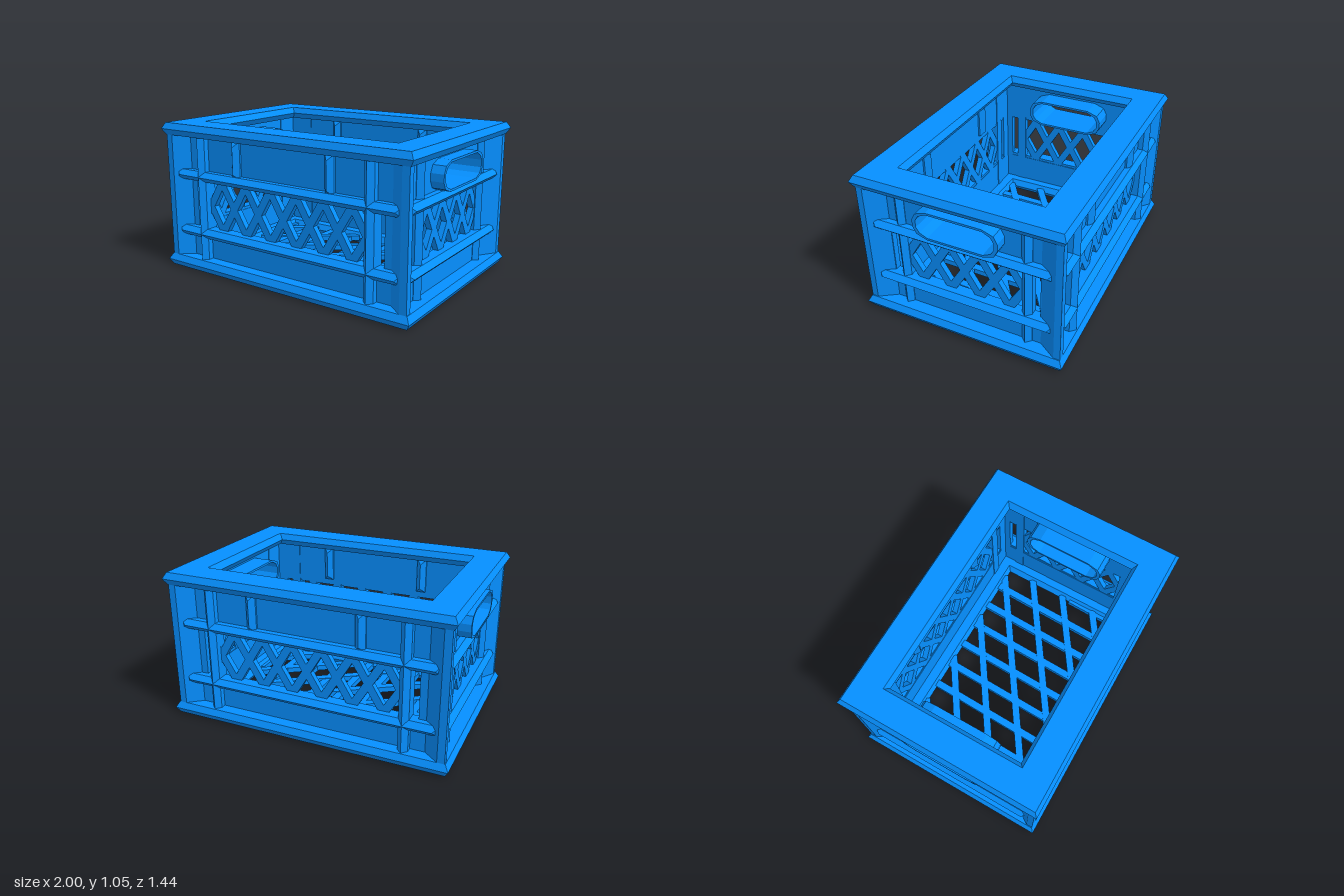
import * as THREE from 'three';

const plastic = new THREE.MeshStandardMaterial({ color: 0x058fff, flatShading: true });

function add(parent, name, geometry) {
  const mesh = new THREE.Mesh(geometry, plastic);
  mesh.name = name;
  parent.add(mesh);
  return mesh;
}

// Skin through stacked rectangles given as [halfX, halfZ, y]
function rectLoft(sections, closed = false) {
  const corners = ([x, z, y]) => [[-x, y, z], [x, y, z], [x, y, -z], [-x, y, -z]];
  const pos = [];
  const count = closed ? sections.length : sections.length - 1;
  for (let s = 0; s < count; s++) {
    const lo = corners(sections[s]);
    const hi = corners(sections[(s + 1) % sections.length]);
    for (let i = 0; i < 4; i++) {
      const j = (i + 1) % 4;
      pos.push(...lo[i], ...lo[j], ...hi[j], ...lo[i], ...hi[j], ...hi[i]);
    }
  }
  const g = new THREE.BufferGeometry();
  g.setAttribute('position', new THREE.Float32BufferAttribute(pos, 3));
  g.computeVertexNormals();
  return g;
}

// Rectangular ring with pointed outer and inner edges
const rim = (y) => rectLoft([
  [0.975, 0.695, y], [1, 0.718, y + 0.042], [0.975, 0.695, y + 0.085],
  [0.785, 0.5, y + 0.085], [0.755, 0.475, y + 0.042], [0.785, 0.5, y],
], true);

// Bar lying along x, with its ridge pointing to +z
function ridgeBar(half, z0, z1) {
  const w = 0.035;
  const d = z1 - z0;
  return rectLoft([[0, 0, 0], [half, w, 0], [half, w, d - w], [half - w, 0, d]])
    .rotateX(Math.PI / 2).translate(0, 0, z0);
}

// Slanted flat bar in the xy plane through (px, py), cut to a rectangle
function latticeBar(px, py, dx, dy, [x0, x1, y0, y1], z) {
  const tx = [(x0 - px) / dx, (x1 - px) / dx].sort((a, b) => a - b);
  const ty = [(y0 - py) / dy, (y1 - py) / dy].sort((a, b) => a - b);
  const a = Math.max(tx[0], ty[0]);
  const b = Math.min(tx[1], ty[1]);
  if (b - a < 0.02) return null;
  const m = (a + b) / 2;
  return new THREE.BoxGeometry((b - a) * Math.hypot(dx, dy), 0.055, 0.04)
    .rotateZ(Math.atan2(dy, dx))
    .translate(px + dx * m, py + dy * m, z);
}

// Points of a wide opening with softened ends
function slotPoints(w, h, mx, my) {
  const q = [[w, 0.025], [mx, my], [0.19, h]];
  const r = [...q].reverse();
  return [
    ...q, ...r.map(([x, y]) => [-x, y]),
    ...q.map(([x, y]) => [-x, -y]), ...r.map(([x, y]) => [x, -y]),
  ].map(([x, y]) => new THREE.Vector2(x, y + 0.82));
}
const slotOuter = () => slotPoints(0.29, 0.1, 0.265, 0.073);
const slotInner = () => slotPoints(0.265, 0.085, 0.243, 0.06);

const rectPoints = (w, y0, y1) =>
  [[-w, y0], [w, y0], [w, y1], [-w, y1]].map(([x, y]) => new THREE.Vector2(x, y));

// One wall facing +z: panel, rails, ribs, lattice and optional handle
function makeWall(name, o) {
  const wall = new THREE.Group();
  wall.name = name;

  const panel = new THREE.Shape(rectPoints(o.half, 0.04, 1.0));
  panel.holes.push(new THREE.Path(rectPoints(o.window, 0.29, 0.67)));
  if (o.handle) panel.holes.push(new THREE.Path(slotInner()));
  add(wall, 'wallPanel', new THREE.ExtrudeGeometry(panel,
    { depth: o.outer - o.inner, bevelEnabled: false }).translate(0, 0, o.inner));

  for (const y of [0.275, 0.685]) {
    add(wall, 'rail', ridgeBar(o.rail, o.inner + 0.005, o.tip)).position.y = y;
  }
  for (const x of [-o.rib, o.rib]) {
    add(wall, 'rib', ridgeBar(0.48, o.inner - 0.005, o.ribTip).rotateZ(Math.PI / 2))
      .position.set(x, 0.525, 0);
  }

  // Crossing bars in the window
  const area = [-o.rib, o.rib, 0.27, 0.69];
  for (let k = -4; k <= 4; k++) {
    for (const s of [-1, 1]) {
      const g = latticeBar(k * o.pitch, 0.475, 1, s * 1.65, area, (o.inner + o.outer) / 2);
      if (g) add(wall, 'latticeBar', g);
    }
  }

  // Short ridged ribs on both faces of the upper panel
  const middle = (o.inner + o.outer) / 2;
  for (const x of o.shortRibs) {
    for (const turn of [0, Math.PI]) {
      add(wall, 'shortRib', ridgeBar(0.128, 0, 0.07).rotateZ(Math.PI / 2).rotateY(turn))
        .position.set(x, 0.829, middle);
    }
  }

  if (o.handle) {
    const sleeve = new THREE.Shape(slotOuter());
    sleeve.holes.push(new THREE.Path(slotInner()));
    add(wall, 'handleSleeve', new THREE.ExtrudeGeometry(sleeve,
      { depth: 0.29, bevelEnabled: false }).translate(0, 0, 0.69));
  }
  return wall;
}

export function createModel() {
  const crate = new THREE.Group();
  crate.name = 'crate';

  add(crate, 'bottomRim', rim(0));
  add(crate, 'topRim', rim(0.962));

  // Long and short walls
  const long = {
    half: 0.86, window: 0.77, inner: 0.57, outer: 0.615, tip: 0.69, ribTip: 0.688,
    rail: 0.912, rib: 0.685, pitch: 0.215, shortRibs: [-0.383, 0.383], handle: false,
  };
  const short = {
    half: 0.59, window: 0.525, inner: 0.845, outer: 0.89, tip: 0.965, ribTip: 0.928,
    rail: 0.63, rib: 0.437, pitch: 0.208, shortRibs: [], handle: true,
  };
  [['frontWall', long], ['leftWall', short], ['backWall', long], ['rightWall', short]]
    .forEach(([name, options], i) => {
      const wall = makeWall(name, options);
      wall.rotation.y = i * Math.PI / 2;
      crate.add(wall);
    });

  // Corner columns with slanted flanks
  const profile = [
    [0.97, 0.695], [0.92, 0.695], [0.82, 0.615], [0.82, 0.6],
    [0.865, 0.59], [0.875, 0.53], [0.89, 0.53], [0.97, 0.65],
  ];
  for (const sx of [-1, 1]) {
    for (const sz of [-1, 1]) {
      const shape = new THREE.Shape(profile.map(([x, z]) => new THREE.Vector2(sx * x, -sz * z)));
      add(crate, 'cornerColumn', new THREE.ExtrudeGeometry(shape,
        { depth: 0.94, bevelEnabled: false }).rotateX(-Math.PI / 2)).position.y = 0.05;
    }
  }

  // Floor lattice: near-straight bars crossed by slanted ones
  const floor = new THREE.Group();
  floor.name = 'floorLattice';
  const area = [-0.77, 0.77, -0.49, 0.49];
  for (let k = -6; k <= 6; k++) {
    const bars = [
      latticeBar(k * 0.193, 0, 0.025, 1, area, 0.04),
      latticeBar(0, k * 0.275 + 0.02, 1, 0.68, area, 0.045),
    ];
    for (const g of bars) if (g) add(floor, 'floorBar', g.rotateX(-Math.PI / 2));
  }
  crate.add(floor);

  return crate;
}
